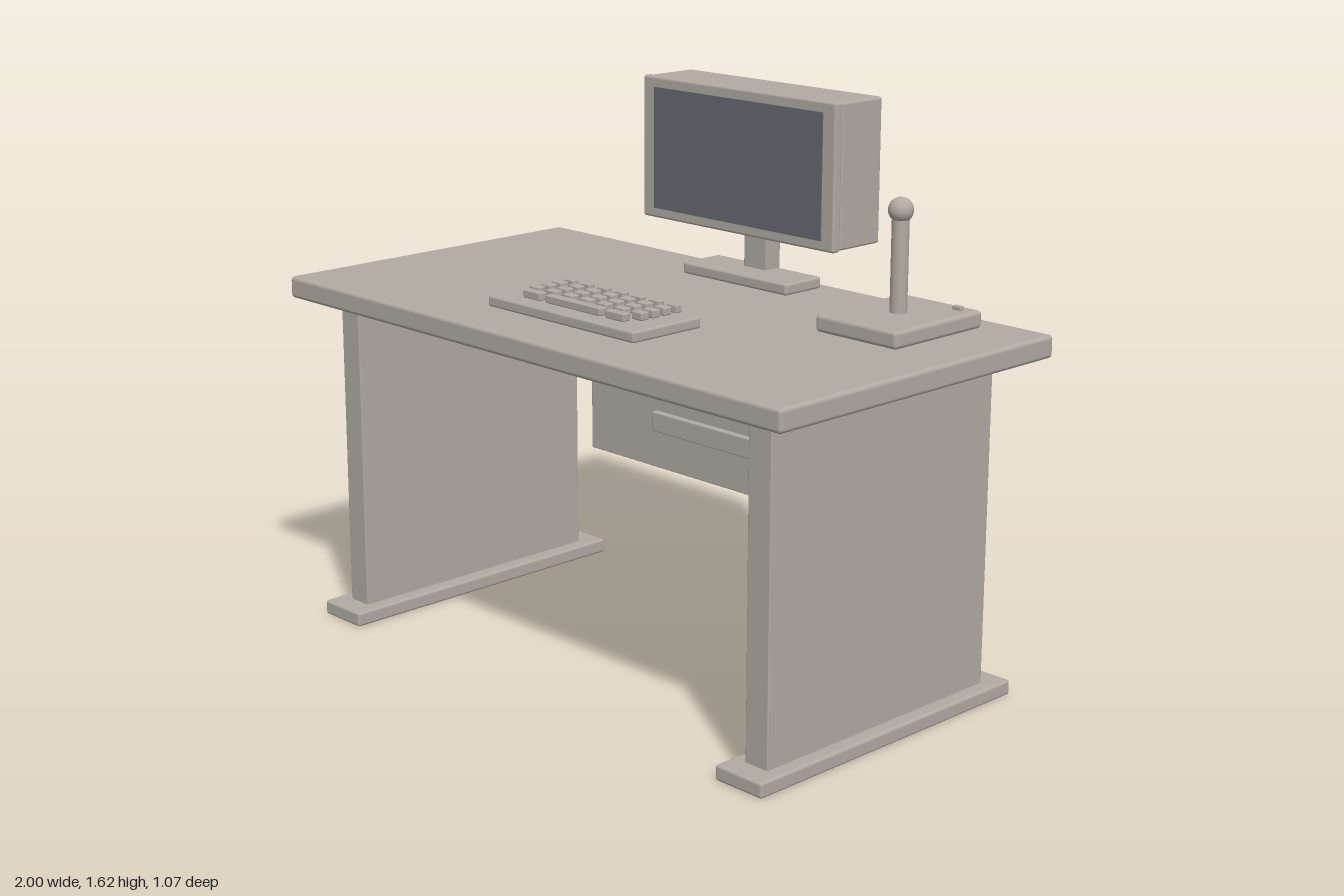
import * as THREE from 'three';
import { RoundedBoxGeometry } from 'three/addons/geometries/RoundedBoxGeometry.js';

const beige = new THREE.MeshStandardMaterial({ color: 0xb0aba2 });
beige.name = 'warmGrey';
const slate = new THREE.MeshStandardMaterial({ color: 0x666a72 });
slate.name = 'screenSlate';

// Box given by its extents on each axis; r > 0 softens the edges
function box(parent, name, [x0, x1], [y0, y1], [z0, z1], r = 0, material = beige) {
  const size = [x1 - x0, y1 - y0, z1 - z0];
  const geometry = r > 0 ? new RoundedBoxGeometry(...size, 2, r) : new THREE.BoxGeometry(...size);
  const mesh = new THREE.Mesh(geometry, material);
  mesh.position.set((x0 + x1) / 2, (y0 + y1) / 2, (z0 + z1) / 2);
  mesh.name = name;
  parent.add(mesh);
  return mesh;
}

function group(parent, name) {
  const g = new THREE.Group();
  g.name = name;
  parent.add(g);
  return g;
}

function buildDesk(parent) {
  const desk = group(parent, 'desk');
  box(desk, 'desktop', [-1, 1], [0.985, 1.05], [-0.53, 0.535], 0.012);
  for (const s of [-1, 1]) {
    const side = s < 0 ? 'right' : 'left';
    box(desk, side + 'SidePanel', [s * 0.84 - 0.04, s * 0.84 + 0.04], [0.03, 0.995], [-0.425, 0.438], 0.004);
    box(desk, side + 'Foot', [s * 0.84 - 0.083, s * 0.84 + 0.083], [0, 0.044], [-0.5, 0.505], 0.008);
  }
  // Modesty panel at the back with a rail on its inner face
  box(desk, 'modestyPanel', [-0.732, 0.73], [0.38, 0.8], [-0.455, -0.425], 0.003);
  box(desk, 'panelRail', [-0.433, 0.431], [0.502, 0.565], [-0.43, -0.405], 0.004);
}

function buildMonitor(parent) {
  const monitor = group(parent, 'monitor');
  box(monitor, 'monitorBase', [-0.225, 0.195], [1.05, 1.085], [-0.485, -0.335], 0.008);
  box(monitor, 'monitorNeck', [-0.06, 0.03], [1.08, 1.22], [-0.485, -0.425], 0.003);
  box(monitor, 'monitorBody', [-0.398, 0.368], [1.203, 1.622], [-0.536, -0.368], 0.008);
  box(monitor, 'bezel', [-0.4, 0.37], [1.2, 1.624], [-0.37, -0.339], 0.008);
  box(monitor, 'screen', [-0.35, 0.324], [1.23, 1.593], [-0.342, -0.336], 0, slate);
}

function buildKeyboard(parent) {
  const keyboard = group(parent, 'keyboard');
  box(keyboard, 'keyboardBody', [-0.3, 0.296], [1.05, 1.082], [0.105, 0.357], 0.007);
  const key = (name, x, z, w, d) =>
    box(keyboard, name, [x - w / 2, x + w / 2], [1.084, 1.107], [z - d / 2, z + d / 2], 0.004);
  [0.124, 0.166, 0.208, 0.25].forEach((z, row) => {
    for (let c = -3; c <= 3; c++) key('key', c * 0.07, z, 0.04, row ? 0.029 : 0.024);
  });
  key('spaceBar', 0, 0.295, 0.222, 0.028);
  for (const s of [-1, 1]) key('wideKey', s * 0.169, 0.295, 0.07, 0.028);
}

// Desk device: flat base, upright post, ball top and a small button
function buildStand(parent) {
  const stand = group(parent, 'joystick');
  box(stand, 'standBase', [0.535, 0.822], [1.05, 1.1], [-0.446, -0.088], 0.012);
  box(stand, 'button', [0.76, 0.788], [1.097, 1.113], [-0.406, -0.391], 0.003);
  const post = new THREE.Mesh(new THREE.CylinderGeometry(0.024, 0.024, 0.28, 24), beige);
  post.position.set(0.677, 1.235, -0.265);
  post.name = 'post';
  const ball = new THREE.Mesh(new THREE.SphereGeometry(0.035, 24, 16), beige);
  ball.position.set(0.677, 1.38, -0.265);
  ball.name = 'ballTop';
  stand.add(post, ball);
}

export function createModel() {
  const model = new THREE.Group();
  model.name = 'computerDesk';
  buildDesk(model);
  buildMonitor(model);
  buildKeyboard(model);
  buildStand(model);
  return model;
}
